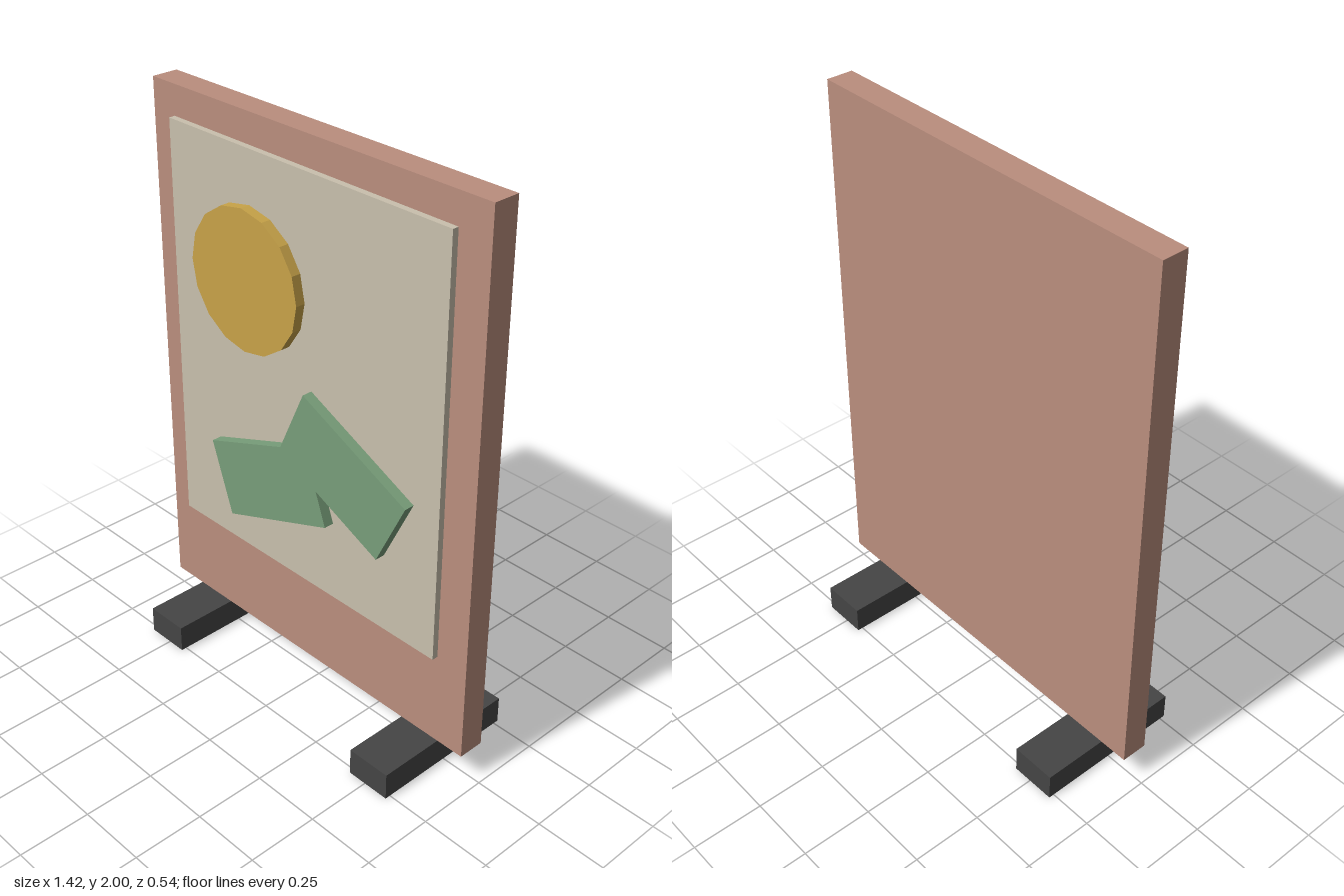
import * as THREE from 'three';

export function createModel() {
  const model = new THREE.Group();
  const mat = (name, color) => {
    const m = new THREE.MeshStandardMaterial({ color });
    m.name = name;
    return m;
  };
  const terracotta = mat('terracotta', 0xba8e7e);
  const cream = mat('cream', 0xc9c0ad);
  const ochre = mat('ochre', 0xc8a349);
  const green = mat('green', 0x789e7a);
  const charcoal = mat('charcoal', 0x454545);
  ochre.flatShading = true;

  const add = (name, geometry, material, x, y, z) => {
    const mesh = new THREE.Mesh(geometry, material);
    mesh.name = name;
    mesh.position.set(x, y, z);
    model.add(mesh);
    return mesh;
  };

  // Upright board, floating just above its two feet
  add('board', new THREE.BoxGeometry(1.416, 1.887, 0.094), terracotta, 0, 1.0565, 0);
  for (const [name, side] of [['leftFoot', 1], ['rightFoot', -1]]) {
    add(name, new THREE.BoxGeometry(0.162, 0.097, 0.538), charcoal, side * 0.513, 0.0485, 0);
  }

  // Cream sheet in front of the board
  add('posterSheet', new THREE.BoxGeometry(1.192, 1.444, 0.022), cream, 0, 1.179, 0.067);

  // Sixteen-sided disc with a corner at the top
  const disc = new THREE.CylinderGeometry(0.242, 0.242, 0.034, 16).rotateX(Math.PI / 2);
  add('disc', disc, ochre, -0.203, 1.49, 0.113);

  // Two tilted rectangles joined into one angular cutout
  const outline = [
    [0.063, 1.199], [-0.044, 0.967], [-0.383, 0.844], [-0.293, 0.593],
    [0.162, 0.759], [0.12, 0.876], [0.389, 0.754], [0.505, 0.993],
  ].map(([x, y]) => new THREE.Vector2(x, y));
  const cutout = new THREE.ExtrudeGeometry(new THREE.Shape(outline), { depth: 0.036, bevelEnabled: false });
  add('angularCutout', cutout, green, 0, 0, 0.092);

  return model;
}
